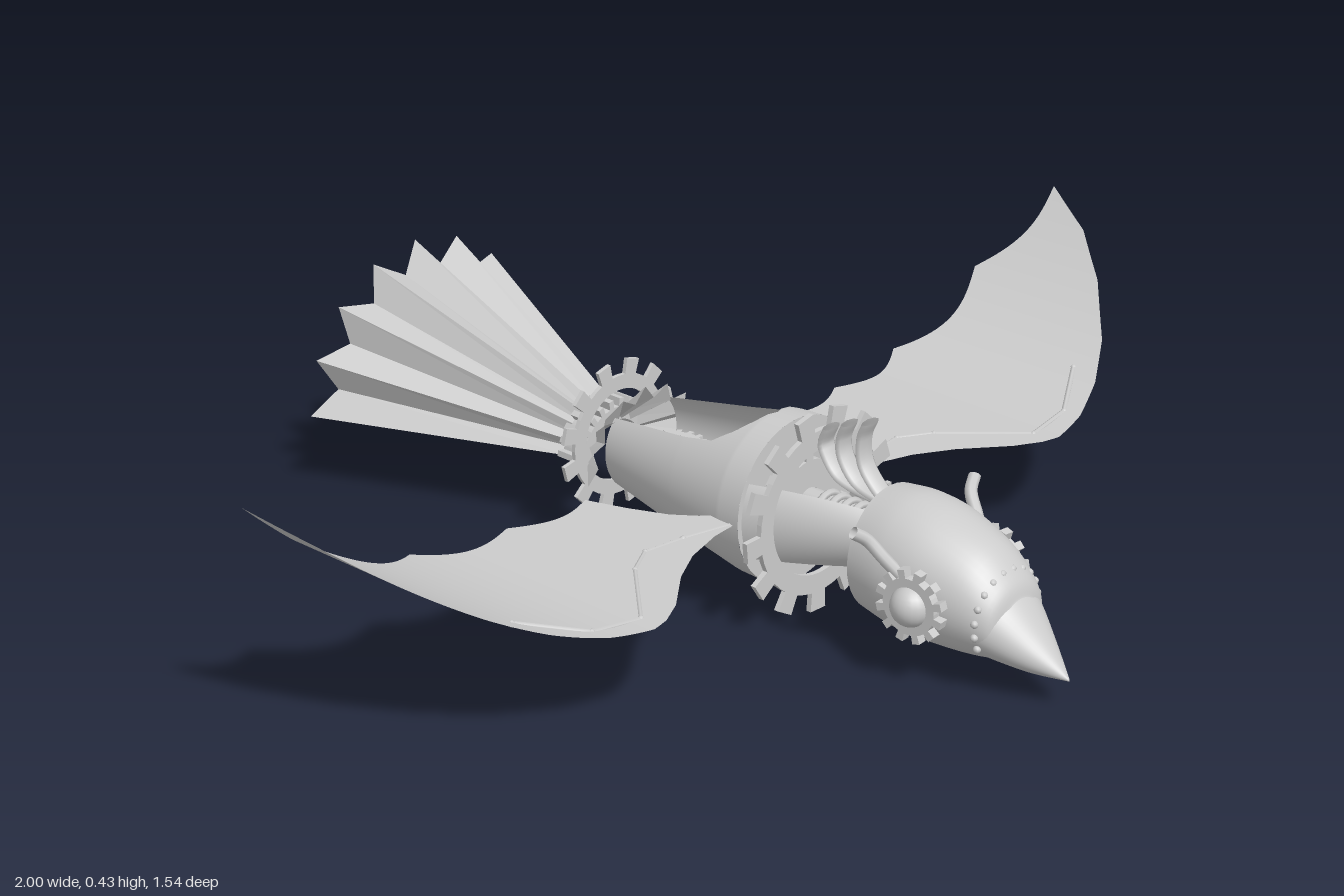
import * as THREE from 'three';
import { ParametricGeometry } from 'three/addons/geometries/ParametricGeometry.js';

const V = (x, y, z) => new THREE.Vector3(x, y, z);
const smooth = new THREE.MeshStandardMaterial({ color: 0xcccccc, side: THREE.DoubleSide });
const flat = new THREE.MeshStandardMaterial({ color: 0xcccccc, side: THREE.DoubleSide, flatShading: true });

function add(parent, name, geometry, material = smooth, pos = [0, 0, 0]) {
  const mesh = new THREE.Mesh(geometry, material);
  mesh.name = name;
  mesh.position.set(...pos);
  parent.add(mesh);
  return mesh;
}

// Piecewise linear lookup in rows of [key, value], keys rising
function lookup(rows, k) {
  let i = 1;
  while (i < rows.length - 1 && k > rows[i][0]) i++;
  const [a, b] = [rows[i - 1], rows[i]];
  const t = THREE.MathUtils.clamp((k - a[0]) / (b[0] - a[0]), 0, 1);
  return a[1] + (b[1] - a[1]) * t;
}

const surface = (f, nu, nv) => new ParametricGeometry((u, v, p) => p.copy(f(u, v)), nu, nv);
const tube = (pts, r, n = 16) => new THREE.TubeGeometry(new THREE.CatmullRomCurve3(pts), n, r, 8);

// Square-toothed gear around the z axis, centred on its thickness
function gear(outer, root, hole, teeth, depth, arc = Math.PI * 2) {
  const shape = new THREE.Shape();
  const step = arc / teeth, full = arc > 6;
  const at = (r, a) => [r * Math.cos(a), r * Math.sin(a)];
  shape.moveTo(...at(root, 0));
  for (let i = 0; i < teeth; i++) {
    const a = i * step;
    shape.lineTo(...at(root, a + step * 0.27));
    shape.lineTo(...at(outer, a + step * 0.29));
    shape.lineTo(...at(outer, a + step * 0.71));
    shape.lineTo(...at(root, a + step * 0.73));
    shape.lineTo(...at(root, a + step));
  }
  if (full) shape.holes.push(new THREE.Path().absarc(0, 0, hole, 0, Math.PI * 2, true));
  else for (let i = 16; i >= 0; i--) shape.lineTo(...at(hole, arc * i / 16));
  const g = new THREE.ExtrudeGeometry(shape, { depth, bevelEnabled: false, curveSegments: 24 });
  return g.translate(0, 0, -depth / 2);
}

// Side panel of a conical shell; cut(z) is the half width of the top and bottom openings
function sidePanel(side, z0, z1, radius, cut) {
  return surface((u, v) => {
    const z = z0 + (z1 - z0) * u, r = radius(z);
    const limit = Math.acos(Math.min(1, cut(z) / r));
    const a = (v * 2 - 1) * limit;
    return V(side * r * Math.cos(a), 0.195 + r * Math.sin(a), z);
  }, 48, 24);
}

// Half-round fan of pleats opening from radius r0 at z0 to r1 at z1
function pleatedFan(z0, r0, z1, r1) {
  return surface((u, v) => {
    const k = Math.round(v * 16), valley = k % 2;
    const r = (r0 + (r1 - r0) * u) * (valley ? 0.82 : 1);
    const z = z0 + (z1 - z0) * u * (valley ? 0.96 : 1);
    return V(r * Math.cos(Math.PI * k / 16), 0.155 + r * Math.sin(Math.PI * k / 16), z);
  }, 1, 16);
}

// Closed loft of ellipses from rows of [z, halfWidth, top, bottom]
function loft(rows) {
  const a = new THREE.SplineCurve(rows.map(r => new THREE.Vector2(r[0], r[1])));
  const b = new THREE.SplineCurve(rows.map(r => new THREE.Vector2(r[2], r[3])));
  return surface((u, v) => {
    const p = a.getPoint(v), q = b.getPoint(v), t = u * Math.PI * 2;
    return V(p.y * Math.cos(t), (q.x + q.y) / 2 + (q.x - q.y) / 2 * Math.sin(t), p.x);
  }, 40, 28);
}

function buildBody(bird) {
  const body = new THREE.Group();
  body.name = 'body';
  bird.add(body);
  const radius = z => lookup([[-0.19, 0.09], [0, 0.126], [0.13, 0.148], [0.18, 0.15]], z);
  const opening = z => lookup([[-0.19, 0.065], [0, 0.088], [0.065, 0.09], [0.1, 0.07],
    [0.12, 0.042], [0.13, 0], [0.18, 0]], z);
  const neckRadius = z => lookup([[0.18, 0.14], [0.4, 0.052]], z);
  const neckCut = z => lookup([[0.18, 0.122], [0.4, 0.025]], z);
  for (const s of [1, -1]) {
    add(body, 'bodyShell', sidePanel(s, -0.19, 0.18, radius, opening));
    add(body, 'neckPanel', sidePanel(s, 0.18, 0.4, neckRadius, neckCut));
  }
  add(body, 'bodyFrontPlate', new THREE.RingGeometry(0.05, 0.15, 40), smooth, [0, 0.195, 0.18]);
  add(body, 'neckShaft', new THREE.CylinderGeometry(0.03, 0.03, 0.24, 16).rotateX(Math.PI / 2),
    smooth, [0, 0.195, 0.28]);
  for (let i = 0; i < 6; i++)
    add(body, 'neckRing', new THREE.TorusGeometry(0.033, 0.007, 6, 20), smooth, [0, 0.195, 0.25 + i * 0.024]);

  // Gears on the long axis
  add(body, 'collarGear', gear(0.1, 0.08, 0.03, 14, 0.025), flat, [0, 0.195, 0.195]);
  add(body, 'neckGear', gear(0.185, 0.15, 0.115, 13, 0.01), flat, [0, 0.19, 0.228]).rotation.z = 0.1;
  // Gear train lying flat inside the shell
  for (const [x, y, z, r] of [[0, 0.2, 0.035, 0.068], [0.008, 0.2, -0.118, 0.06], [-0.045, 0.165, 0.075, 0.035]]) {
    add(body, 'innerGear', gear(r, r * 0.84, r * 0.2, 16, 0.015).rotateX(Math.PI / 2), flat, [x, y, z]);
    add(body, 'gearAxle', new THREE.CylinderGeometry(r * 0.22, r * 0.22, 0.05, 12), smooth, [x, y, z]);
  }
}

function buildHead(bird) {
  const head = new THREE.Group();
  head.name = 'head';
  bird.add(head);
  add(head, 'skull', loft([[0.385, 0.107, 0.285, 0.062], [0.45, 0.115, 0.29, 0.05], [0.52, 0.112, 0.278, 0.048],
    [0.6, 0.094, 0.245, 0.052], [0.65, 0.074, 0.2, 0.062], [0.665, 0.05, 0.17, 0.075]]));
  add(head, 'beak', loft([[0.62, 0.084, 0.2, 0.06], [0.66, 0.068, 0.172, 0.056], [0.71, 0.04, 0.12, 0.053],
    [0.768, 0.002, 0.06, 0.056]]));
  const back = add(head, 'headBack', new THREE.CircleGeometry(1, 40), smooth, [0, 0.1735, 0.385]);
  back.scale.set(0.107, 0.1115, 1);
  back.rotation.y = Math.PI;
  // Rivets round the beak seam
  for (let i = 0; i < 14; i++) {
    const a = -0.5 + (Math.PI + 1) * i / 13;
    add(head, 'rivet', new THREE.SphereGeometry(0.007, 8, 6), smooth,
      [0.082 * Math.cos(a), 0.132 + 0.078 * Math.sin(a), 0.635]);
  }
  for (const s of [1, -1]) {
    const eye = new THREE.Group();
    eye.name = 'eye';
    eye.position.set(s * 0.112, 0.152, 0.528);
    eye.rotation.y = s * (Math.PI / 2 - 0.1);
    head.add(eye);
    add(eye, 'eyeGear', gear(0.065, 0.05, 0.03, 12, 0.018), flat);
    add(eye, 'eyeball', new THREE.SphereGeometry(0.036, 20, 14));
    // Swept brow bar above the eye
    const brow = add(head, 'brow', tube([V(s * 0.1, 0.185, 0.505), V(s * 0.118, 0.22, 0.475),
      V(s * 0.132, 0.25, 0.45), V(s * 0.155, 0.268, 0.4385)], 0.011));
    brow.castShadow = true;
  }
  // Curved crest feathers
  for (const [z, y] of [[0.335, 0.385], [0.29, 0.37], [0.25, 0.352]]) {
    const crest = add(head, 'crestFeather', tube([V(0, 0.25, 0.395), V(0, 0.268, z + 0.03),
      V(0, 0.31, z - 0.005), V(0, y - 0.03, z - 0.008), V(0, y, z + 0.004)], 0.007, 24));
    crest.scale.x = 3;
  }
}

function buildWings(bird) {
  const height = x => 0.193 + 0.247 * Math.pow(Math.max(0, (x - 0.5) / 0.5), 2);
  const lead = [[0.12, 0.165], [0.2, 0.175], [0.28, 0.2], [0.35, 0.24], [0.43, 0.305], [0.48, 0.332], [0.515, 0.34],
    [0.6, 0.322], [0.69, 0.285], [0.78, 0.23], [0.88, 0.14], [0.95, 0.05], [1, -0.06]];
  // Tips of the trailing edge, joined by scallops
  const tips = [[0.245, -0.085], [0.415, -0.1], [0.61, -0.125], [0.84, -0.12], [1, -0.062]];
  const trail = x => {
    if (x < 0.245) return lookup([[0.12, 0.14], [0.16, 0.1], [0.19, 0.06], [0.22, -0.01], [0.245, -0.085]], x);
    const i = Math.max(1, tips.findIndex(p => p[0] >= x));
    const t = (x - tips[i - 1][0]) / (tips[i][0] - tips[i - 1][0]);
    return lookup(tips, x) + 0.16 * (tips[i][0] - tips[i - 1][0]) * Math.sin(Math.PI * t);
  };
  for (const s of [1, -1]) {
    const wing = new THREE.Group();
    wing.name = s > 0 ? 'leftWing' : 'rightWing';
    bird.add(wing);
    add(wing, 'wingMembrane', surface((u, v) => {
      const x = 0.12 + 0.88 * u, a = lookup(lead, x), b = Math.min(a, trail(x));
      return V(s * x, height(x), a + (b - a) * v);
    }, 176, 4));
    // Jointed arm under the membrane
    const joints = [[0.13, 0.165], [0.24, 0.14], [0.32, 0.13], [0.38, 0.165], [0.5, 0.295], [0.6, 0.285], [0.71, 0.22]];
    for (let i = 1; i < joints.length; i++) {
      const [p, q] = [joints[i - 1], joints[i]].map(([x, z]) => V(s * x, height(x) - 0.003, z));
      add(wing, 'wingBone', new THREE.TubeGeometry(new THREE.LineCurve3(p, q), 1, 0.005, 6));
      add(wing, 'wingJoint', new THREE.SphereGeometry(0.006, 8, 6), smooth, q.toArray());
    }
  }
}

function buildTail(bird) {
  const tail = new THREE.Group();
  tail.name = 'tail';
  bird.add(tail);
  add(tail, 'tailFan', pleatedFan(-0.29, 0.07, -0.768, 0.27), flat);
  add(tail, 'tailRuffle', pleatedFan(-0.25, 0.075, -0.178, 0.145), flat);
  add(tail, 'tailGear', gear(0.14, 0.112, 0.085, 12, 0.008), flat, [0, 0.19, -0.247]);
  add(tail, 'tailClamp', gear(0.1, 0.085, 0.06, 12, 0.05, Math.PI), flat, [0, 0.155, -0.275]);
}

export function createModel() {
  const bird = new THREE.Group();
  bird.name = 'mechanicalBird';
  buildBody(bird);
  buildHead(bird);
  buildWings(bird);
  buildTail(bird);
  return bird;
}
